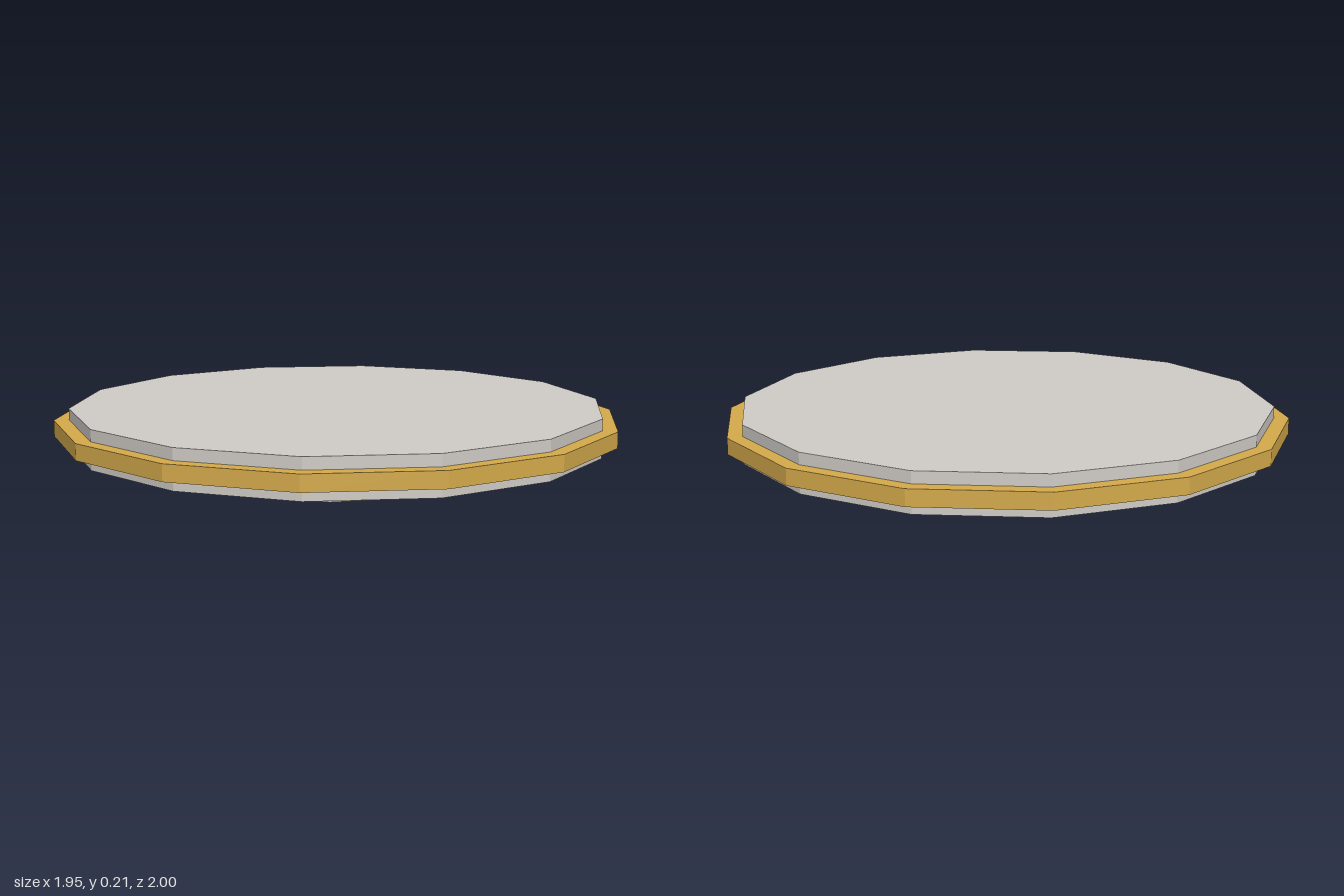
import * as THREE from 'three';

const paint = (name, color) => Object.assign(new THREE.MeshStandardMaterial({ color, flatShading: true }), { name });

export function createModel() {
  const stone = paint('pale stone', 0xd0ccc7);
  const gold = paint('gold', 0xd4aa4b);
  const sand = paint('sand', 0xd0be82);

  const group = new THREE.Group();
  group.name = 'roundPlatform';

  // Faceted disc standing between two heights
  const disc = (name, radius, bottom, top, sides, material) => {
    const mesh = new THREE.Mesh(new THREE.CylinderGeometry(radius, radius, top - bottom, sides), material);
    mesh.name = name;
    mesh.position.y = (bottom + top) / 2;
    group.add(mesh);
  };

  disc('foot', 0.655, 0, 0.07, 12, sand);
  disc('slab', 0.947, 0.07, 0.207, 14, stone);
  disc('rimBand', 1, 0.109, 0.166, 14, gold);

  return group;
}
